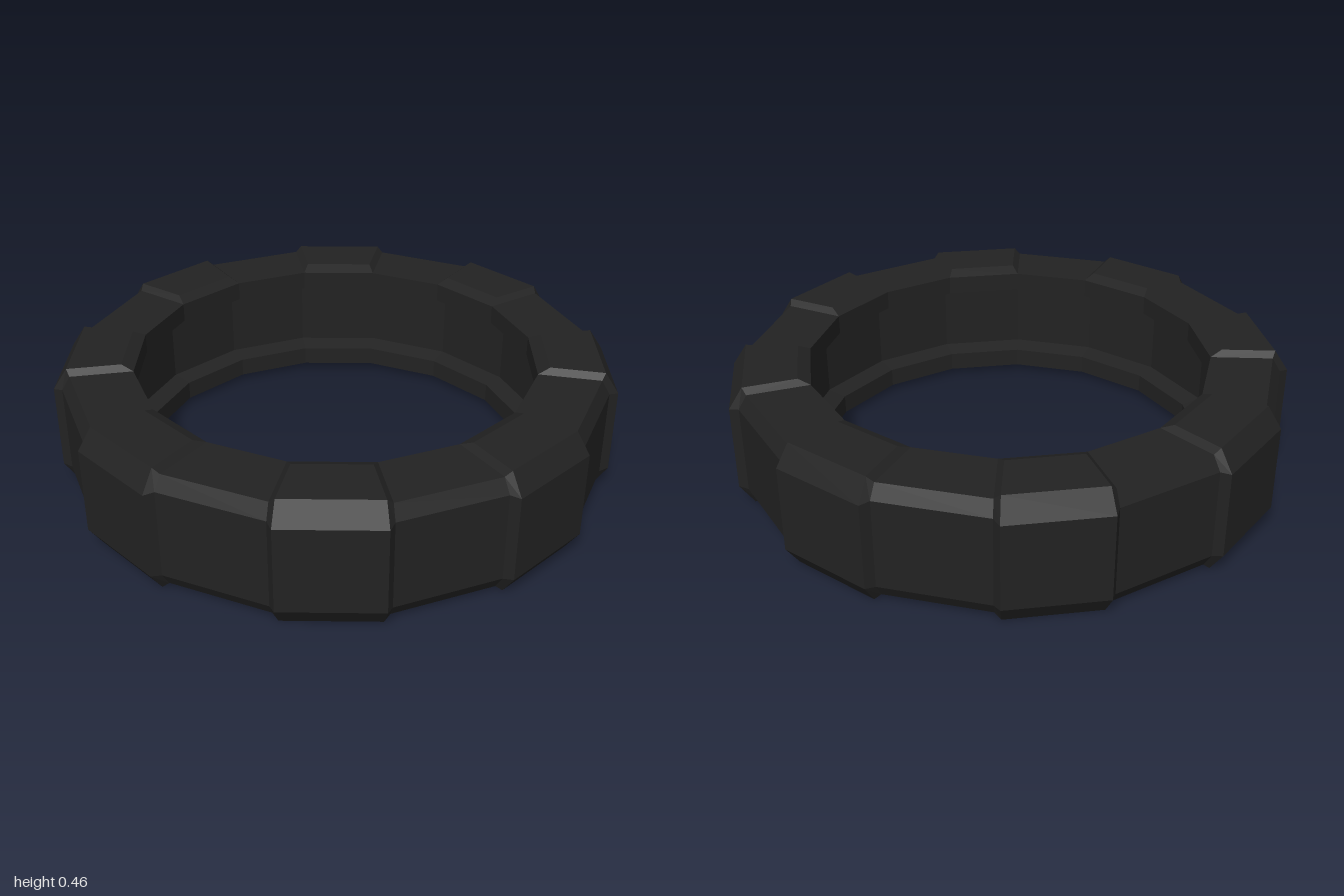
import * as THREE from 'three';

const SIDES = 16;
const STEP = (Math.PI * 2) / SIDES;
const MID = 0.23; // half height of the tyre

// Mirrors an upper half profile of [radius, height above middle] to the lower half
const mirrored = (half) => [...half, ...half.slice().reverse().map(([r, h]) => [r, -h])];

// Carcass: closed hollow profile turned in 16 flat sides
function carcassGeometry() {
  const outer = [[0.97, -0.16], [0.97, 0.16], [0.94, 0.21], [0.72, 0.21]];
  const inner = [[0.72, 0.14], [0.79, 0.125], [0.79, -0.125], [0.72, -0.14]];
  const rest = [[0.72, -0.21], [0.94, -0.21], [0.97, -0.16]];
  const points = [...outer, ...inner, ...rest].map(([r, h]) => new THREE.Vector2(r, h + MID));
  return new THREE.LatheGeometry(points, SIDES);
}

// Tread block: four cross-sections, flush at both ends and raised in between
function blockGeometry() {
  const flush = mirrored([[0.72, 0.21], [0.94, 0.21], [0.97, 0.16]]);
  const raised = mirrored([[0.76, 0.23], [0.95, 0.23], [1.0, 0.155]]);
  const section = (profile, angle, inset) => profile.map(([r, h]) => [
    r * Math.sin(angle) + inset * Math.cos(angle),
    h + MID,
    r * Math.cos(angle) - inset * Math.sin(angle),
  ]);
  const sections = [
    section(flush, 0, 0),
    section(raised, 0, 0.022),
    section(raised, STEP, -0.022),
    section(flush, STEP, 0),
  ];
  const positions = [];
  const quad = (a, b, c, d) => positions.push(...a, ...b, ...c, ...a, ...c, ...d);
  const last = flush.length - 1;
  for (let i = 0; i < 3; i++) {
    for (let j = 0; j < last; j++) {
      quad(sections[i][j], sections[i][j + 1], sections[i + 1][j + 1], sections[i + 1][j]);
    }
  }
  // Bevels along the inner rim, above and below
  const [a, b, c, d] = sections;
  quad(a[0], b[0], c[0], d[0]);
  quad(d[last], c[last], b[last], a[last]);

  const geometry = new THREE.BufferGeometry();
  geometry.setAttribute('position', new THREE.Float32BufferAttribute(positions, 3));
  geometry.computeVertexNormals();
  return geometry;
}

export function createModel() {
  const group = new THREE.Group();
  group.name = 'tyre';
  const rubber = new THREE.MeshStandardMaterial({ color: 0x222222, flatShading: true });

  const carcass = new THREE.Mesh(carcassGeometry(), rubber);
  carcass.name = 'carcass';
  group.add(carcass);

  // Raised blocks on every second side
  const treadBlocks = new THREE.Group();
  treadBlocks.name = 'treadBlocks';
  const block = blockGeometry();
  for (let i = 0; i < SIDES / 2; i++) {
    const mesh = new THREE.Mesh(block, rubber);
    mesh.name = `treadBlock${i + 1}`;
    mesh.rotation.y = i * 2 * STEP;
    treadBlocks.add(mesh);
  }
  group.add(treadBlocks);
  return group;
}
